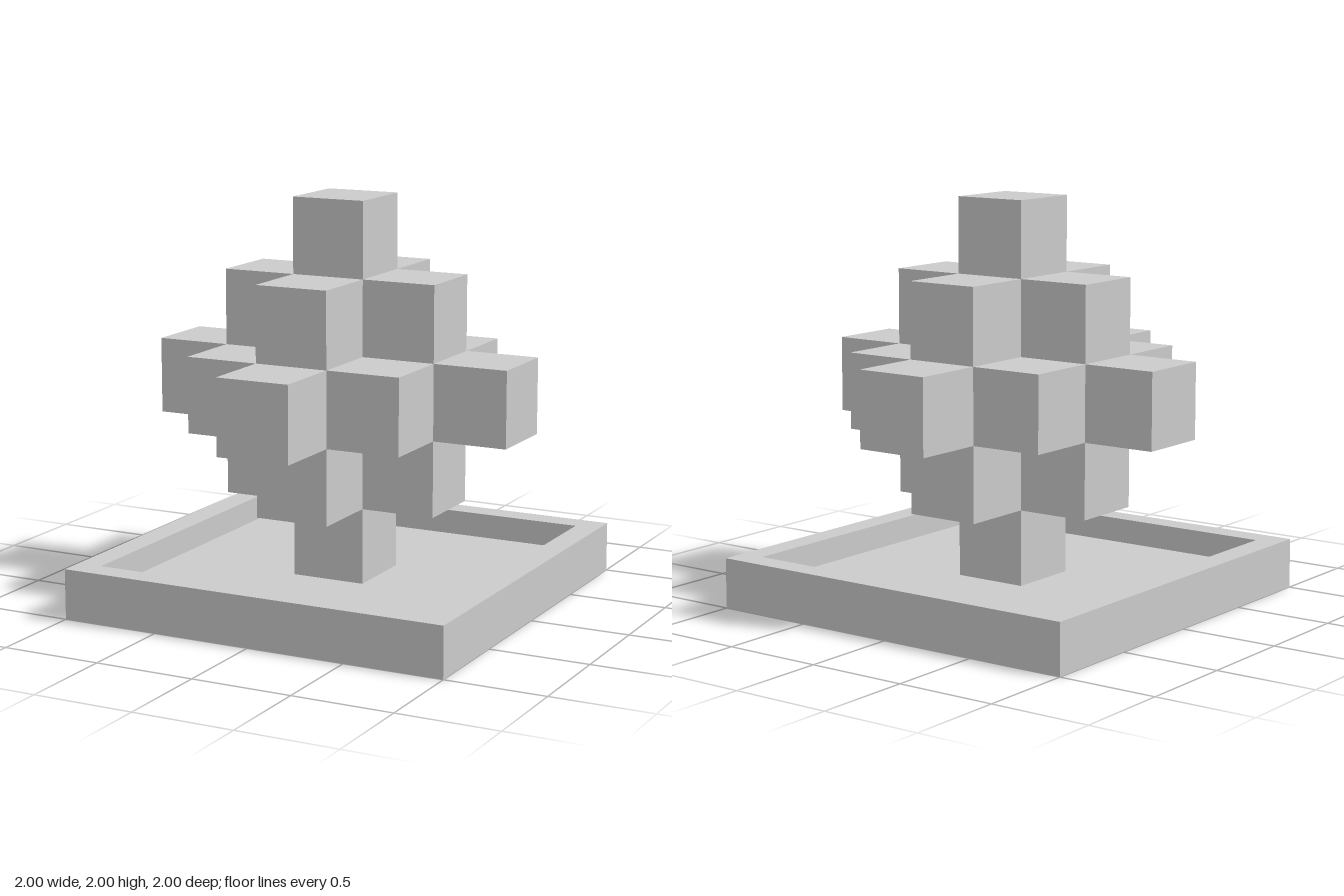
import * as THREE from 'three';
import { mergeGeometries } from 'three/addons/utils/BufferGeometryUtils.js';

const CUBE = 0.375;      // edge of one cube
const CENTRE_Y = 1.0625; // height of the middle cube
const REACH = 2;         // cubes from the middle to each tip

// A cell belongs to the stepped octahedron when its grid distance is small enough
const isSolid = (c) => Math.abs(c.x) + Math.abs(c.y) + Math.abs(c.z) <= REACH;

// Stepped octahedron of cubes, keeping only the outward squares
function cubeClusterGeometry() {
  const directions = [
    [1, 0, 0], [-1, 0, 0], [0, 1, 0], [0, -1, 0], [0, 0, 1], [0, 0, -1],
  ].map((d) => new THREE.Vector3(...d));
  const forward = new THREE.Vector3(0, 0, 1);
  const faces = [];
  for (let x = -REACH; x <= REACH; x++)
    for (let y = -REACH; y <= REACH; y++)
      for (let z = -REACH; z <= REACH; z++) {
        const cell = new THREE.Vector3(x, y, z);
        if (!isSolid(cell)) continue;
        for (const dir of directions) {
          if (isSolid(cell.clone().add(dir))) continue;
          if (y === -REACH && dir.y === -1) continue; // rests on the tray floor
          const centre = cell.clone().addScaledVector(dir, 0.5).multiplyScalar(CUBE);
          const turn = new THREE.Quaternion().setFromUnitVectors(forward, dir);
          faces.push(new THREE.PlaneGeometry(CUBE, CUBE)
            .applyQuaternion(turn)
            .translate(centre.x, centre.y, centre.z));
        }
      }
  return mergeGeometries(faces);
}

// Square tray with a raised rim: a four-sided lathe turned to face the axes
function trayGeometry() {
  const profile = [[0, 0], [1, 0], [1, 0.25], [0.875, 0.25], [0.875, 0.125], [0, 0.125]]
    .map(([halfWidth, y]) => new THREE.Vector2(halfWidth * Math.SQRT2, y));
  return new THREE.LatheGeometry(profile, 4).rotateY(Math.PI / 4);
}

export function createModel() {
  const model = new THREE.Group();
  const material = new THREE.MeshStandardMaterial({ color: 0xcccccc, flatShading: true });

  const tray = new THREE.Mesh(trayGeometry(), material);
  tray.name = 'tray';

  const cluster = new THREE.Mesh(cubeClusterGeometry(), material);
  cluster.name = 'cubeCluster';
  cluster.position.y = CENTRE_Y;

  model.add(tray, cluster);
  return model;
}
